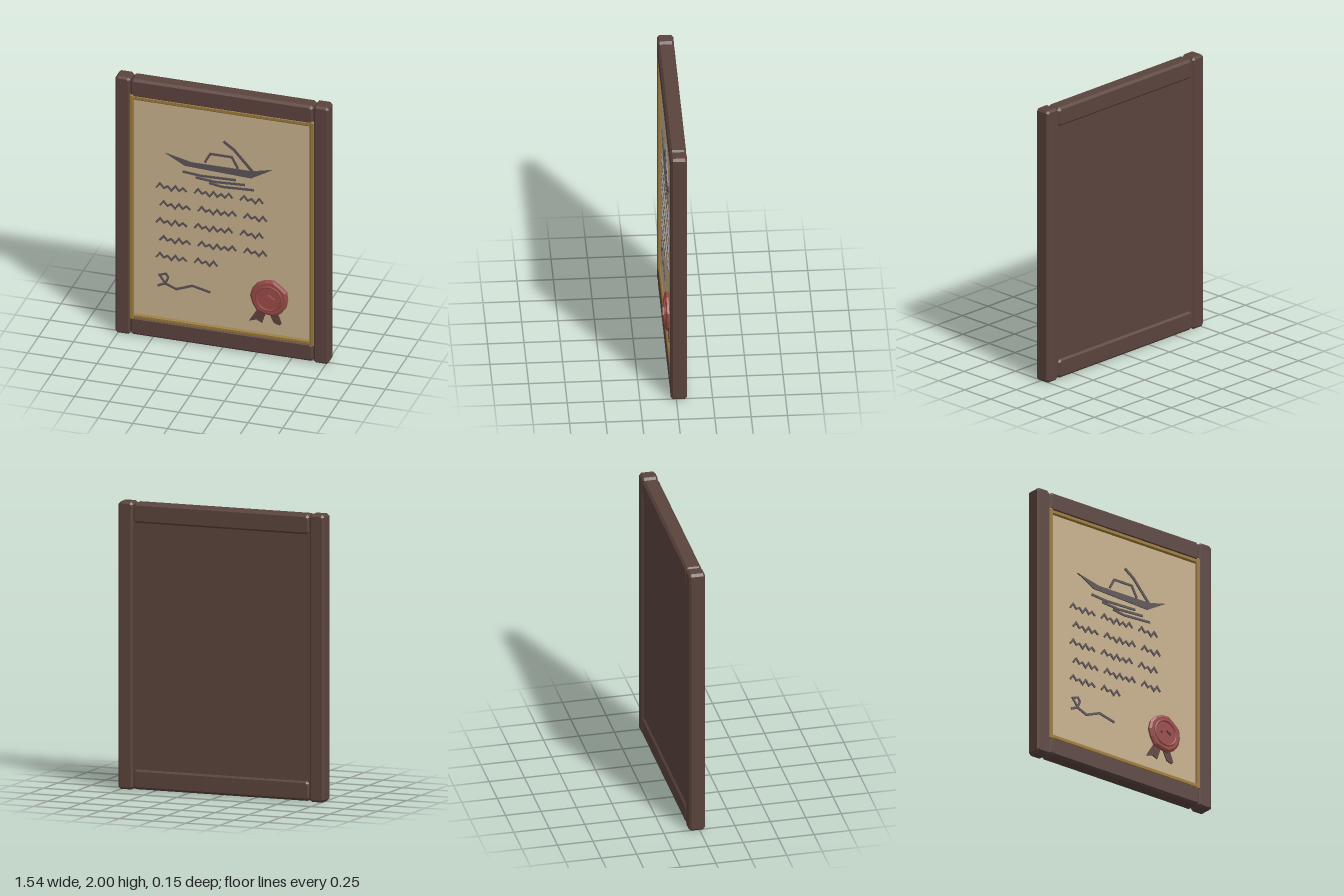
import * as THREE from 'three';

const mat = (name, color) => {
  const m = new THREE.MeshStandardMaterial({ color });
  m.name = name;
  return m;
};

export function createModel() {
  const wood = mat('dark wood', 0x5b433d);
  const paper = mat('parchment', 0xc8b08b);
  const gold = mat('aged gold', 0x9c7a3a);
  const ink = mat('ink', 0x5c5457);
  const wax = mat('sealing wax', 0x984a47);
  const ribbon = mat('ribbon', 0x5e423e);

  const root = new THREE.Group();
  root.name = 'framedCertificate';

  const add = (name, geometry, material, x = 0, y = 0, z = 0, parent = root) => {
    const mesh = new THREE.Mesh(geometry, material);
    mesh.name = name;
    mesh.position.set(x, y, z);
    parent.add(mesh);
    return mesh;
  };

  const outline = (pts) => new THREE.Shape(pts.map(([x, y]) => new THREE.Vector2(x, y)));

  // Box with every edge chamfered by c, centred on its origin
  const chamferBox = (w, h, d, c) => {
    const a = w / 2 - c, b = h / 2 - c, e = c * 0.6;
    const shape = outline([
      [-a + e, -b], [a - e, -b], [a, -b + e], [a, b - e],
      [a - e, b], [-a + e, b], [-a, b - e], [-a, -b + e],
    ]);
    const g = new THREE.ExtrudeGeometry(shape, {
      depth: d - 2 * c, bevelEnabled: true, bevelThickness: c, bevelSize: c, bevelSegments: 1,
    });
    return g.translate(0, 0, -(d - 2 * c) / 2);
  };

  const plate = (pts, depth) =>
    new THREE.ExtrudeGeometry(outline(pts), { depth, bevelEnabled: false });

  // Polyline pen stroke with mitred corners, as one thin plate
  const stroke = (pts, width, depth = 0.008) => {
    const v = pts.map(([x, y]) => new THREE.Vector2(x, y));
    const normal = (a, b) => {
      const d = b.clone().sub(a).normalize();
      return new THREE.Vector2(-d.y, d.x);
    };
    const left = [], right = [];
    v.forEach((p, i) => {
      const n0 = normal(v[Math.max(i - 1, 0)], v[Math.max(i, 1)]);
      const last = v.length - 1;
      const n1 = normal(v[Math.min(i, last - 1)], v[Math.min(i + 1, last)]);
      const m = n0.clone().add(n1).normalize();
      m.multiplyScalar(width / 2 / Math.max(m.dot(n1), 0.5));
      left.push([p.x + m.x, p.y + m.y]);
      right.unshift([p.x - m.x, p.y - m.y]);
    });
    return plate([...right, ...left].reverse(), depth);
  };

  // Frame: two stiles, two rails, gilt inner edging
  const zMid = -0.0185, depth = 0.113;
  for (const s of [-1, 1]) {
    const side = s > 0 ? 'left' : 'right';
    const end = s > 0 ? 'top' : 'bottom';
    add(side + 'Stile', chamferBox(0.11, 2, depth, 0.014), wood, s * 0.715, 1, zMid);
    add(end + 'Rail', chamferBox(1.32, 0.14, depth, 0.016), wood, 0, 1 + s * 0.925, zMid);
    add(side + 'GiltEdge', chamferBox(0.03, 1.75, 0.03, 0.006), gold, s * 0.65, 1, 0.025);
    add(end + 'GiltEdge', chamferBox(1.3, 0.035, 0.03, 0.008), gold, 0, 1 + s * 0.851, 0.02);
  }

  // Backing board and parchment sheet
  add('backPanel', new THREE.BoxGeometry(1.33, 1.78, 0.07), wood, 0, 1, -0.027);
  add('parchment', new THREE.BoxGeometry(1.29, 1.71, 0.014), paper, 0, 1, 0.013);
  const zInk = 0.0195;

  // Boat drawing
  const boat = new THREE.Group();
  boat.name = 'boatDrawing';
  boat.position.z = zInk;
  root.add(boat);
  add('hull', plate([
    [-0.41, 1.455], [-0.27, 1.378], [0.21, 1.358], [0.365, 1.448], [0.22, 1.413], [-0.22, 1.412],
  ], 0.008), ink, 0, 0, 0, boat);
  const lines = {
    cabin: [[-0.125, 1.427], [-0.085, 1.5], [0.07, 1.5], [0.115, 1.417]],
    mast: [[0.01, 1.612], [0.085, 1.56], [0.22, 1.41]],
    upperWave: [[-0.285, 1.33], [-0.15, 1.318], [0.1, 1.325]],
    middleWave: [[-0.19, 1.299], [-0.05, 1.287], [0.165, 1.298]],
    lowerWave: [[-0.095, 1.272], [0, 1.257], [0.23, 1.268]],
  };
  for (const [name, pts] of Object.entries(lines)) {
    add(name, stroke(pts, name === 'mast' ? 0.019 : 0.016), ink, 0, 0, 0, boat);
  }

  // Rows of scribbled zigzag words: [start x, number of pen strokes]
  const rows = new THREE.Group();
  rows.name = 'scribbledRows';
  root.add(rows);
  const full = [[-0.475, 8], [-0.2, 10], [0.13, 6]];
  const short = [[-0.475, 8], [-0.2, 6]];
  const heights = [-0.012, 0.024, -0.008, 0.01, -0.02, 0.02, -0.014, 0.012];
  for (let r = 0; r < 5; r++) {
    for (const [x, n] of r < 4 ? full : short) {
      const pts = Array.from({ length: n + 1 }, (_, i) => [i * 0.0275, heights[i % 8]]);
      add('scribbledWord', stroke(pts, 0.013), ink, x + (r % 2) * 0.026, 1.187 - r * 0.1355, zInk, rows);
    }
  }

  // Signature: a flourish and a small loop
  add('signatureTail', stroke([
    [-0.465, 0.412], [-0.41, 0.437], [-0.33, 0.405], [-0.215, 0.45], [-0.085, 0.42],
  ], 0.016), ink, 0, 0, zInk);
  add('signatureLoop', stroke([
    [-0.408, 0.437], [-0.452, 0.497], [-0.405, 0.514], [-0.388, 0.488], [-0.412, 0.43],
  ], 0.014), ink, 0, 0, zInk);

  // Wax seal with ribbon tails
  const seal = new THREE.Group();
  seal.name = 'waxSeal';
  seal.position.set(0.345, 0.455, zInk);
  root.add(seal);
  add('ribbonTail', plate([
    [-0.085, -0.1], [-0.15, -0.205], [-0.095, -0.187], [-0.055, -0.207], [-0.02, -0.1],
  ], 0.009), ribbon, 0, 0, 0.004, seal);
  add('ribbonTail', plate([
    [-0.015, -0.1], [0.03, -0.193], [0.072, -0.207], [0.085, -0.19], [0.05, -0.1],
  ], 0.009), ribbon, 0, 0, 0.004, seal);

  // Slightly uneven wax rim
  const rim = Array.from({ length: 14 }, (_, i) => {
    const a = (i / 14) * Math.PI * 2, rad = 0.119 + (i % 2) * 0.004 + 0.003 * Math.sin(i * 2.3);
    return [Math.cos(a) * rad, Math.sin(a) * rad];
  });
  add('sealBody', new THREE.ExtrudeGeometry(outline(rim), {
    depth: 0.014, bevelEnabled: true, bevelThickness: 0.01, bevelSize: 0.015, bevelSegments: 1,
  }), wax, 0, 0, 0.01, seal);
  add('sealRing', new THREE.TorusGeometry(0.091, 0.008, 6, 20), wax, 0, 0, 0.034, seal);
  add('sealMark', stroke([[-0.042, -0.006], [0, 0.024], [0.042, -0.004]], 0.016, 0.018), wax, 0, 0, 0.033, seal);

  return root;
}
